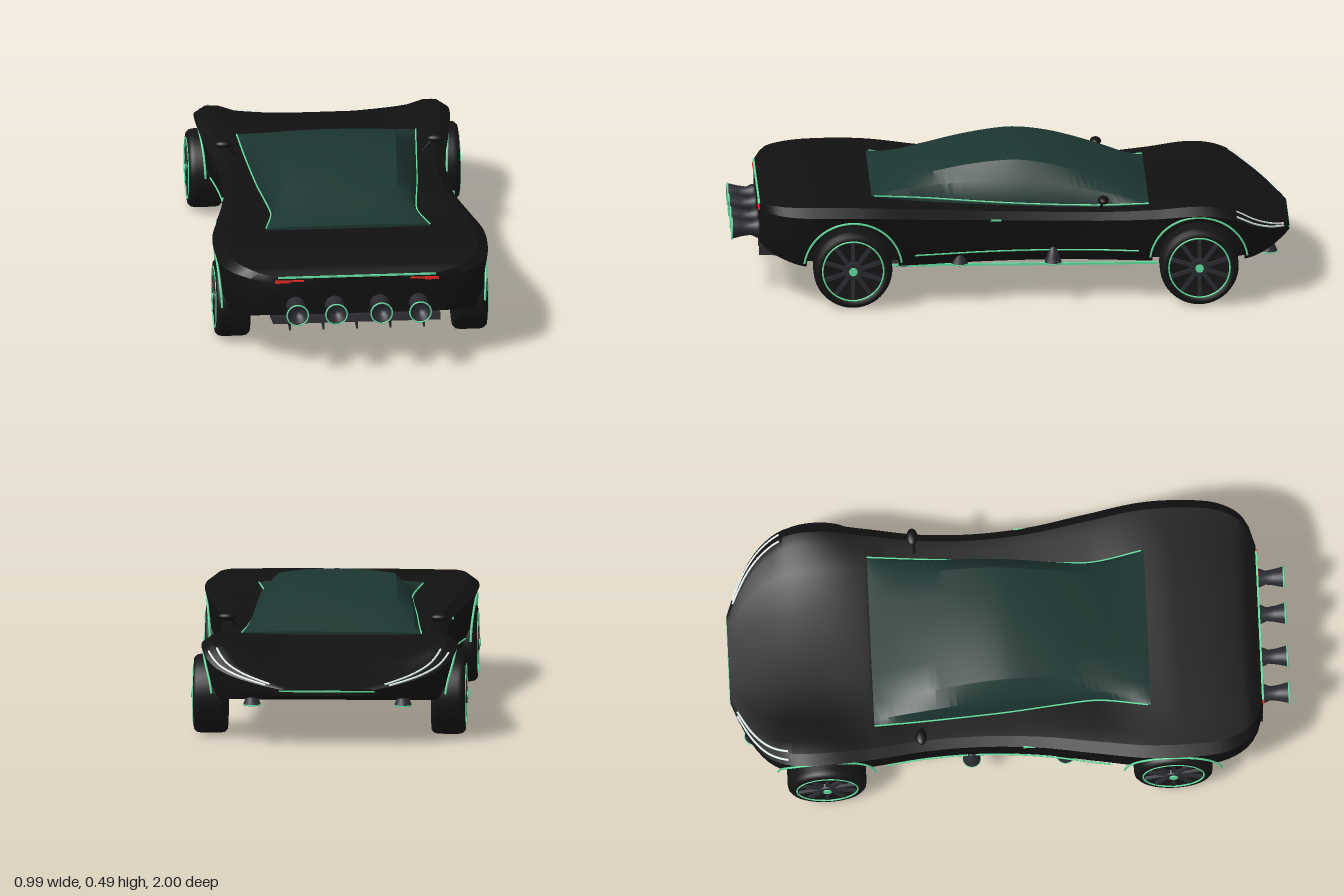
import * as THREE from 'three';
import { toCreasedNormals } from 'three/addons/utils/BufferGeometryUtils.js';

const mat = (color) => new THREE.MeshStandardMaterial({ color, side: THREE.DoubleSide });
const BLACK = mat(0x111111), TYRE = mat(0x141414), DARK = mat(0x2a2b30), GLASS = mat(0x1c3530);
const GREEN = mat(0x62dc9f), RED = mat(0xe02a24), WHITE = mat(0xe4f2ec);

// smooth curve through [z, value] pairs
const curve = (pts) => (z) => {
  const n = pts.length - 1;
  let i = 0;
  while (i < n - 1 && z > pts[i + 1][0]) i++;
  const slope = (k) => {
    const a = pts[Math.max(k - 1, 0)], b = pts[Math.min(k + 1, n)];
    return (b[1] - a[1]) / (b[0] - a[0]);
  };
  const [z0, v0] = pts[i], [z1, v1] = pts[i + 1], h = z1 - z0;
  const t = THREE.MathUtils.clamp((z - z0) / h, 0, 1), t2 = t * t, t3 = t2 * t;
  return (2 * t3 - 3 * t2 + 1) * v0 + (t3 - 2 * t2 + t) * h * slope(i)
    + (3 * t2 - 2 * t3) * v1 + (t3 - t2) * h * slope(i + 1);
};

// body outlines along the length
const width = curve([[-1, 0.16], [-0.97, 0.24], [-0.92, 0.34], [-0.86, 0.41], [-0.78, 0.45], [-0.65, 0.457], [-0.5, 0.44], [-0.3, 0.412],
  [-0.1, 0.405], [0.1, 0.42], [0.3, 0.455], [0.5, 0.487], [0.7, 0.485], [0.8, 0.46], [0.87, 0.4], [0.9, 0.31]]);
const fender = curve([[-1, 0.207], [-0.95, 0.235], [-0.87, 0.28], [-0.78, 0.332], [-0.67, 0.35], [-0.5, 0.334],
  [-0.3, 0.322], [0, 0.327], [0.3, 0.348], [0.55, 0.366], [0.85, 0.36], [0.9, 0.34]]);
const deck = curve([[-1, 0.207], [-0.85, 0.255], [-0.7, 0.298], [-0.5, 0.328], [-0.4, 0.315], [0.3, 0.325], [0.5, 0.36],
  [0.6, 0.37], [0.85, 0.362], [0.9, 0.34]]);
const floor = curve([[-1, 0.185], [-0.93, 0.165], [-0.84, 0.147], [-0.6, 0.145], [0.6, 0.145], [0.75, 0.148], [0.9, 0.195]]);
const WHEEL_Z = [-0.665, 0.573], WHEEL_Y = 0.141, ARCH = 0.165;
const archY = (z) => Math.max(0, ...WHEEL_Z.map((c) => {
  const d = Math.abs(z - c);
  return d < ARCH ? WHEEL_Y + Math.sqrt(ARCH * ARCH - d * d) : 0;
}));

// closed mirrored skin through half sections that run from top centre to bottom centre
function loft(stations, section) {
  const pos = [], idx = [];
  const rings = stations.map((z) => {
    const half = section(z);
    return [...half, ...half.slice(1, -1).reverse().map(([x, y]) => [-x, y])].map(([x, y]) => [x, y, z]);
  });
  const n = rings[0].length, last = (rings.length - 1) * n;
  rings.forEach((r) => r.forEach((p) => pos.push(...p)));
  for (let i = 0; i < rings.length - 1; i++) for (let j = 0; j < n; j++) {
    const a = i * n + j, b = i * n + (j + 1) % n;
    idx.push(a, a + n, b, b, a + n, b + n);
  }
  for (let j = 1; j < n - 1; j++) idx.push(0, j, j + 1, last, last + j + 1, last + j);
  const g = new THREE.BufferGeometry();
  g.setAttribute('position', new THREE.Float32BufferAttribute(pos, 3));
  g.setIndex(idx);
  return toCreasedNormals(g, 0.55);
}

const range = (a, b, n) => Array.from({ length: n + 1 }, (_, i) => a + (b - a) * i / n);

function bodySection(z) {
  const w = width(z), f = fender(z), d = deck(z), b = floor(z), h = f - b;
  const low = Math.max(archY(z), b), inner = Math.min(0.36, 0.8 * w);
  const sill = Math.max(low, b + 0.3 * h), edge = f - 0.13 * h;
  return [[0, d], [0.3 * w, d], [0.62 * w, d + (f - d) * 0.4], [0.82 * w, f], [0.92 * w, f], [w, edge],
    [0.98 * w, (edge + sill) / 2], [0.97 * w, sill], [0.91 * w, low], [inner, low], [inner, b], [0, b]];
}

const glassW = curve([[-0.49, 0.32], [-0.2, 0.3], [0, 0.286], [0.2, 0.267], [0.32, 0.262], [0.5, 0.294]]);
const glassTop = curve([[-0.49, 0.338], [-0.35, 0.402], [-0.2, 0.457], [-0.1, 0.481], [0, 0.489], [0.15, 0.468],
  [0.3, 0.43], [0.42, 0.393], [0.5, 0.372]]);
const glassBase = curve([[-0.49, 0.333], [-0.3, 0.325], [0, 0.33], [0.3, 0.345], [0.5, 0.364]]);
function glassSection(z) {
  const w = glassW(z), b = glassBase(z), h = glassTop(z) - b;
  return [[0, b + h], [0.4 * w, b + 0.975 * h], [0.74 * w, b + 0.89 * h], [0.93 * w, b + 0.5 * h], [w, b], [w, b - 0.03], [0, b - 0.03]];
}

export function createModel() {
  const root = new THREE.Group();
  const add = (name, geo, material, x = 0, y = 0, z = 0, parent = root) => {
    const m = new THREE.Mesh(geo, material);
    m.name = name;
    m.position.set(x, y, z);
    parent.add(m);
    return m;
  };
  const box = (x, y, z) => new THREE.BoxGeometry(x, y, z);
  const lathe = (pts, n = 28) => new THREE.LatheGeometry(pts.map((p) => new THREE.Vector2(...p)), n);
  const line = (name, pts, r, material) => add(name, new THREE.TubeGeometry(
    new THREE.CatmullRomCurve3(pts.map((p) => new THREE.Vector3(...p))), 40, r, 6), material);

  // shell and canopy
  const ends = WHEEL_Z.flatMap((c) => [-ARCH, -ARCH + 0.001, -ARCH + 0.008, ARCH - 0.008, ARCH - 0.001, ARCH].map((d) => c + d));
  add('body', loft([...range(-0.998, 0.9, 90), ...ends].sort((a, b) => a - b), bodySection), BLACK);
  add('canopy', loft(range(-0.49, 0.5, 40), glassSection), GLASS);

  // tail: light bar, lamps and diffuser
  add('tailLightBar', box(0.565, 0.006, 0.008), GREEN, 0, 0.338, 0.901);
  const diffuser = add('diffuser', box(0.6, 0.025, 0.16), DARK, 0, 0.157, 0.82);
  diffuser.rotation.x = -0.2;
  for (let i = -2; i <= 2; i++) add('diffuserFin', box(0.006, 0.04, 0.15), DARK, i * 0.12, 0.155, 0.825);
  add('noseLightBar', box(0.34, 0.006, 0.006), GREEN, 0, 0.2, -0.997);
  add('floorHatch', box(0.07, 0.008, 0.26), DARK, 0, 0.143, -0.28);

  // rear nozzles
  for (const x of [-0.22, -0.081, 0.081, 0.22]) {
    const nozzle = new THREE.Group();
    nozzle.name = 'rearNozzle';
    nozzle.position.set(x, 0.23, 0.89);
    nozzle.rotation.x = Math.PI / 2;
    root.add(nozzle);
    add('nozzleBell', lathe([[0, 0], [0.034, 0], [0.034, 0.02], [0.025, 0.04], [0.029, 0.07], [0.038, 0.108], [0.033, 0.108], [0.02, 0.07], [0, 0.07]]), DARK, 0, 0, 0, nozzle);
    add('nozzleRing', new THREE.TorusGeometry(0.038, 0.003, 8, 32).rotateX(Math.PI / 2), GREEN, 0, 0.107, 0, nozzle);
  }

  for (const s of [-1, 1]) {
    // lamps, mirrors and trim lines
    add('tailLamp', box(0.05, 0.01, 0.012), RED, s * 0.268, 0.323, 0.9);
    add('tailLampInner', box(0.06, 0.005, 0.012), RED, s * 0.22, 0.325, 0.9);
    const lampZ = range(-0.8, -0.975, 8);
    line('headlightStrip', lampZ.map((z) => [s * 0.9 * width(z), fender(z) + 0.001, z]), 0.004, WHITE);
    line('headlightOuterStrip', lampZ.map((z) => [s * 0.965 * width(z), fender(z) - 0.06 * (fender(z) - floor(z)), z]), 0.004, WHITE);
    const mirror = add('sideMirror', new THREE.SphereGeometry(1, 20, 12), BLACK, s * 0.38, 0.366, -0.325);
    mirror.scale.set(0.032, 0.014, 0.02);
    line('mirrorStalk', [[s * 0.33, 0.315, -0.32], [s * 0.35, 0.34, -0.32], [s * 0.37, 0.362, -0.325]], 0.005, BLACK);
    line('canopyTrim', range(-0.49, 0.49, 20).map((z) => [s * (glassW(z) + 0.001), glassBase(z) + 0.002, z]), 0.003, GREEN);
    line('sillTrim', range(-0.45, 0.35, 12).map((z) => [s * 0.968 * width(z), 0.187, z]), 0.003, GREEN);
    add('doorHandle', box(0.006, 0.006, 0.06), GREEN, s * 0.414, 0.305, 0.07);
    add('underglowStrip', box(0.01, 0.008, 0.96), GREEN, s * 0.315, 0.113, -0.04);

    // underside lift fans
    const fan = new THREE.Group();
    fan.name = 'liftFan';
    fan.position.set(s * 0.173, 0.097, 0.38);
    root.add(fan);
    add('fanDisc', new THREE.CylinderGeometry(0.085, 0.085, 0.008, 32), DARK, 0, 0, 0, fan);
    add('fanRim', new THREE.TorusGeometry(0.088, 0.006, 8, 36).rotateX(Math.PI / 2), DARK, 0, 0, 0, fan);
    add('fanMount', new THREE.CylinderGeometry(0.025, 0.025, 0.05, 16), DARK, 0, 0.026, 0, fan);
    for (let i = 0; i < 8; i++) add('fanBlade', box(0.16, 0.005, 0.012), TYRE, 0, -0.007, 0, fan).rotation.y = i * Math.PI / 8;

    // downward thrusters
    for (const [x, y, z] of [[0.27, 0.14, -0.92], [0.39, 0.14, -0.145], [0.39, 0.14, 0.19]]) {
      add('lowerThruster', lathe([[0.032, 0], [0.022, 0.025], [0.012, 0.055], [0, 0.06]], 20), DARK, s * x, y, z);
      add('lowerThrusterRing', new THREE.TorusGeometry(0.031, 0.0025, 6, 24).rotateX(Math.PI / 2), GREEN, s * x, y, z);
    }

    // wheels with arch trim
    for (const z of WHEEL_Z) {
      line('archTrim', range(0.15, Math.PI - 0.15, 20).map((a) => {
        const pz = z + 0.176 * Math.cos(a);
        return [s * 0.985 * width(pz), WHEEL_Y + 0.176 * Math.sin(a), pz];
      }), 0.004, GREEN);
      const wheel = new THREE.Group();
      wheel.name = 'wheel';
      wheel.position.set(s * 0.425, WHEEL_Y, z);
      wheel.rotation.z = -s * Math.PI / 2;
      root.add(wheel);
      add('tyre', lathe([[0, -0.05], [0.11, -0.06], [0.128, -0.06], [0.138, -0.05], [0.141, -0.035], [0.141, 0.035], [0.138, 0.05], [0.128, 0.06],
        [0.112, 0.061], [0.106, 0.05], [0, 0.05]], 48), TYRE, 0, 0, 0, wheel);
      add('rimRing', new THREE.TorusGeometry(0.109, 0.003, 8, 48).rotateX(Math.PI / 2), GREEN, 0, 0.061, 0, wheel);
      for (let i = 0; i < 5; i++) add('spokePair', box(0.21, 0.012, 0.014), DARK, 0, 0.055, 0, wheel).rotation.y = i * Math.PI / 5;
      add('hub', new THREE.CylinderGeometry(0.03, 0.034, 0.016, 24), DARK, 0, 0.058, 0, wheel);
      add('hubCap', new THREE.CylinderGeometry(0.015, 0.015, 0.01, 20), GREEN, 0, 0.066, 0, wheel);
    }
  }
  return root;
}
